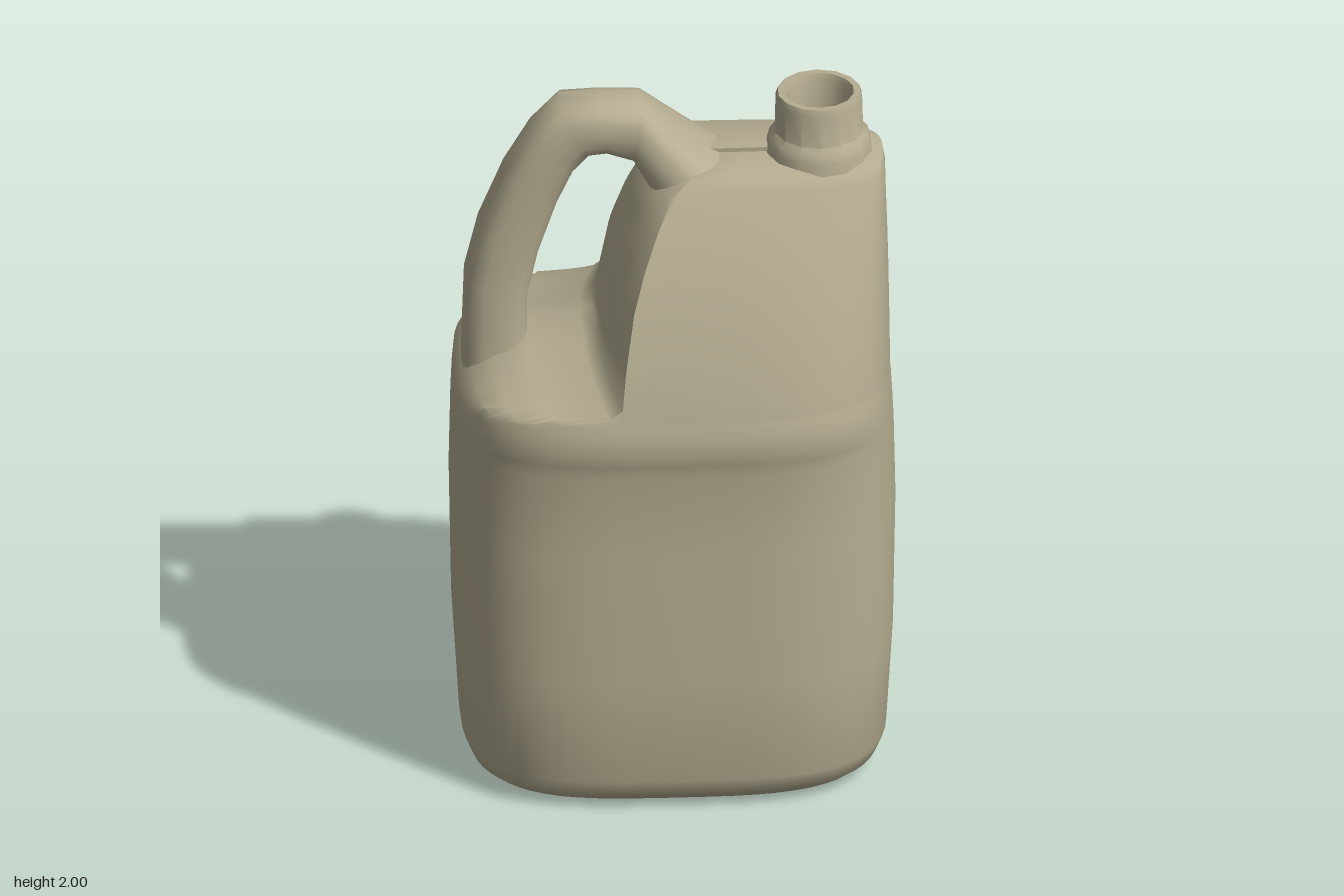
import * as THREE from 'three';
import { toCreasedNormals } from 'three/addons/utils/BufferGeometryUtils.js';

const SEG = 56;

// Signed power, used for rounded-rectangle (superellipse) sections
const pow = (v, n) => Math.sign(v) * Math.pow(Math.abs(v), 2 / n);

// Joins equal-length rings of points into a closed, capped skin
function loft(rings, crease) {
  const n = rings[0].length;
  const pos = rings.flat(2);
  const index = [];
  for (let i = 0; i < rings.length - 1; i++) {
    for (let j = 0; j < n; j++) {
      const k = (j + 1) % n;
      const a = i * n + j, b = i * n + k;
      index.push(a, a + n, b, b, a + n, b + n);
    }
  }
  const cap = (ring, base, top) => {
    const c = pos.length / 3;
    for (let d = 0; d < 3; d++) pos.push(ring.reduce((s, p) => s + p[d], 0) / n);
    for (let j = 0; j < n; j++) {
      const k = (j + 1) % n;
      index.push(c, base + (top ? k : j), base + (top ? j : k));
    }
  };
  cap(rings[0], 0, false);
  cap(rings[rings.length - 1], (rings.length - 1) * n, true);
  const g = new THREE.BufferGeometry();
  g.setAttribute('position', new THREE.Float32BufferAttribute(pos, 3));
  g.setIndex(index);
  return toCreasedNormals(g, crease);
}

// Body section: the left side is cut off at xl, which forms the shelf and the wall behind the grip
function bodyRing([y, a, w, xl = -1, rise = 0]) {
  const ring = [];
  for (let j = 0; j < SEG; j++) {
    const t = (j / SEG) * Math.PI * 2;
    const x = a * pow(Math.cos(t), 3.3);
    const z = w * pow(Math.sin(t), 3.3);
    const f = Math.abs(z) / w;
    const limit = xl + 0.06 * f * f;
    const cut = x < limit;
    ring.push([cut ? limit : x, y + (cut ? rise * (1 - f) : 0), z + 0.005]);
  }
  return ring;
}

// Handle section between an outer and an inner point, with half width hw
function handleRing([ox, oy, ix, iy, hw]) {
  const ring = [];
  for (let j = 0; j < 20; j++) {
    const t = (j / 20) * Math.PI * 2;
    const u = 0.5 + 0.5 * pow(Math.cos(t), 2.8);
    ring.push([ix + (ox - ix) * u, iy + (oy - iy) * u, 0.012 - hw * pow(Math.sin(t), 2.8)]);
  }
  return ring;
}

export function createModel() {
  const group = new THREE.Group();
  const plastic = new THREE.MeshStandardMaterial({ color: 0xb5ad91 });
  plastic.name = 'beige plastic';
  const add = (name, geometry) => {
    const mesh = new THREE.Mesh(geometry, plastic);
    mesh.name = name;
    group.add(mesh);
    return mesh;
  };

  // Body: height, half length, half depth, left cut, shelf rise
  const body = [
    [0.005, 0.46, 0.33],
    [0.02, 0.53, 0.40],
    [0.05, 0.56, 0.435],
    [0.10, 0.58, 0.452],
    [0.40, 0.598, 0.450],
    [0.80, 0.605, 0.445],
    [1.04, 0.600, 0.438],
    [1.08, 0.598, 0.446],
    [1.12, 0.596, 0.456],
    [1.165, 0.592, 0.450],
    [1.19, 0.591, 0.444, -0.555, 0.03],
    [1.20, 0.590, 0.441, -0.50, 0.07],
    [1.21, 0.590, 0.438, -0.40, 0.10],
    [1.22, 0.590, 0.436, -0.25, 0.10],
    [1.25, 0.590, 0.428, -0.215, 0.09],
    [1.35, 0.589, 0.400, -0.205],
    [1.50, 0.587, 0.342, -0.18],
    [1.60, 0.585, 0.297, -0.15],
    [1.70, 0.582, 0.245, -0.11],
    [1.78, 0.580, 0.195, -0.07],
    [1.81, 0.575, 0.175, -0.03],
    [1.825, 0.55, 0.15, 0.0],
  ];
  add('body', loft(body.map(bodyRing), 0.8));

  // Handle: outer x, y, inner x, y, half width
  const handle = [
    [-0.575, 1.12, -0.38, 1.15, 0.11],
    [-0.575, 1.25, -0.395, 1.29, 0.105],
    [-0.568, 1.46, -0.395, 1.40, 0.098],
    [-0.53, 1.62, -0.365, 1.54, 0.096],
    [-0.46, 1.79, -0.315, 1.69, 0.096],
    [-0.39, 1.91, -0.27, 1.79, 0.096],
    [-0.31, 1.995, -0.225, 1.84, 0.096],
    [-0.20, 2.0, -0.18, 1.845, 0.096],
    [-0.085, 1.995, -0.11, 1.82, 0.10],
    [0.0, 1.92, -0.075, 1.76, 0.135],
    [0.09, 1.845, -0.02, 1.68, 0.165],
    [0.15, 1.815, 0.06, 1.65, 0.165],
  ];
  add('handle', loft(handle.map(handleRing), 0.8));

  // Low moulding ridge between handle and neck
  const ridge = add('ridge', new THREE.BoxGeometry(0.2, 0.03, 0.04));
  ridge.position.set(0.19, 1.822, 0.012);

  // Open neck with a collar and a hollow mouth
  const profile = [
    [0.15, 1.80], [0.143, 1.845], [0.137, 1.87], [0.122, 1.885], [0.12, 1.98],
    [0.114, 2.0], [0.096, 2.0], [0.088, 1.98], [0.085, 1.87], [0, 1.86],
  ].map(([r, y]) => new THREE.Vector2(r, y));
  const neck = add('neck', toCreasedNormals(new THREE.LatheGeometry(profile, 14), 0.8));
  neck.position.set(0.4, 0, 0.012);

  return group;
}
